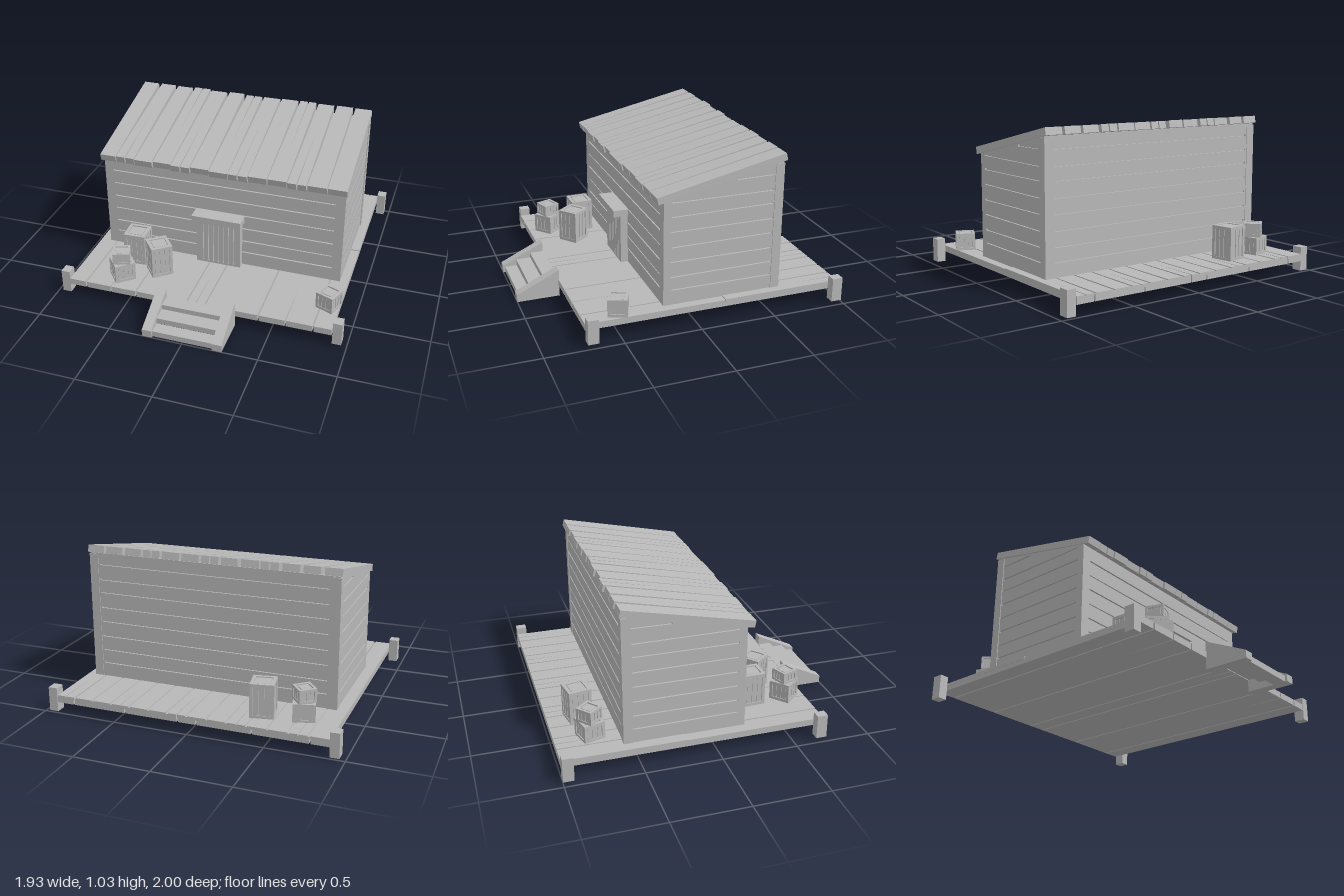
import * as THREE from 'three';

export function createModel() {
  const root = new THREE.Group();
  const wood = new THREE.MeshStandardMaterial({ color: 0xb8b8b8 });
  wood.name = 'weathered wood';

  const add = (parent, name, geo, x = 0, y = 0, z = 0) => {
    const m = new THREE.Mesh(geo, wood);
    m.name = name;
    m.position.set(x, y, z);
    parent.add(m);
    return m;
  };
  // box given by its minimum and maximum corners
  const box = (parent, name, x0, x1, y0, y1, z0, z1) =>
    add(parent, name, new THREE.BoxGeometry(x1 - x0, y1 - y0, z1 - z0),
      (x0 + x1) / 2, (y0 + y1) / 2, (z0 + z1) / 2);
  const group = (name, parent = root) => {
    const g = new THREE.Group();
    g.name = name;
    parent.add(g);
    return g;
  };
  const outline = pts => new THREE.Shape(pts.map(p => new THREE.Vector2(...p)));
  const extrude = (shape, depth) => new THREE.ExtrudeGeometry(shape, { depth, bevelEnabled: false });
  let seed = 7;
  const rnd = () => (seed = (seed * 16807) % 2147483647) / 2147483647;

  // Board lying along z from 0 to -len, with an optional tapering split at one end
  function plank(f0, f1, b0, b1, len, thick, crackEnd = '', crackLen = 0.5) {
    const fm = (f0 + f1) / 2, bm = (b0 + b1) / 2, w = 0.004;
    const pts = [[f0, 0]];
    if (crackEnd === 'front') pts.push([fm - w, 0], [(fm + bm) / 2, len * crackLen], [fm + w, 0]);
    pts.push([f1, 0], [b1, len]);
    if (crackEnd === 'back') pts.push([bm + w, len], [(fm + bm) / 2, len * (1 - crackLen)], [bm - w, len]);
    pts.push([b0, len]);
    return extrude(outline(pts), thick).rotateX(-Math.PI / 2);
  }

  // Flat panel with thin tapering horizontal or vertical grooves cut through it
  function panel(pts, slots, depth) {
    const s = outline(pts);
    for (const q of slots) s.holes.push(new THREE.Path(q.map(p => new THREE.Vector2(...p))));
    return extrude(s, depth);
  }
  const hSlot = (u0, u1, y, flip) => {
    const a = flip ? 0.006 : 0.003, b = flip ? 0.003 : 0.006;
    return [[u0, y - a], [u0, y + a], [u1, y + b], [u1, y - b]];
  };

  // Deck: wide boards full length, narrower boards laid over the back
  const deck = group('deck');
  const seams = [-0.91, -0.785, -0.425, -0.065, 0.06, 0.42, 0.78, 0.905];
  for (let i = 0; i < 7; i++) {
    const a = seams[i] + 0.005, b = seams[i + 1] - 0.005;
    add(deck, 'wideDeckBoard', plank(a, b, a, b, 1.72, 0.043, i % 2 ? 'front' : '', 0.2), 0, 0.075, 0.72);
  }
  for (let i = 0; i < 14; i++) {
    const w = 1.815 / 14, a = -0.91 + i * w, t = 0.004 + rnd() * 0.006;
    add(deck, 'narrowDeckBoard',
      plank(a + 0.002, a + w - 0.002, a + t, a + w - t, 0.8, 0.02, i % 3 === 1 ? 'back' : '', 0.4), 0, 0.104, -0.2);
  }
  for (const s of [-1, 1]) for (const z of [0.65, -1])
    box(root, 'cornerPost', s * 0.935 - 0.03, s * 0.935 + 0.03, 0.01, 0.17, z, z + 0.07);

  // House core with sloping top
  const house = group('house');
  const roofY = z => 0.8 + (0.24 - z) * 0.2176;
  const profile = (zf, zb) => [[-zf, 0.12], [-zb, 0.12], [-zb, roofY(zb)], [-zf, roofY(zf)]];
  add(house, 'houseCore', extrude(outline(profile(0.188, -0.578)), 1.656).rotateY(Math.PI / 2), -0.823);

  // Grooved plank cladding
  const rows = [0.22, 0.31, 0.41, 0.51, 0.61, 0.71, 0.8, 0.9];
  const rect = h => [[-0.835, 0.12], [0.845, 0.12], [0.845, h], [-0.835, h]];
  add(house, 'frontWall', panel(rect(0.808), rows.slice(0, 6).map((y, i) => hSlot(-0.77, 0.78, y, i % 2)), 0.012), 0, 0, 0.188);
  add(house, 'backWall', panel(rect(0.978), rows.map((y, i) => hSlot(-0.77, 0.78, y, i % 2)), 0.012), 0, 0, -0.59);
  for (const x of [-0.835, 0.833]) {
    const slots = rows.map((y, i) => hSlot(y > 0.85 ? 0.28 : -0.15, 0.53, y, i % 2));
    add(house, 'sideWall', panel(profile(0.188, -0.578), slots, 0.012).rotateY(Math.PI / 2), x);
  }
  for (const x of [-0.84, 0.79]) box(house, 'backCornerBoard', x, x + 0.06, 0.12, 0.97, -0.594, -0.535);

  // Door with vertical grooves and a lintel
  const door = group('door');
  const grooves = [];
  for (let i = -3; i <= 3; i++) {
    const x = i * 0.036;
    grooves.push([[x - 0.004, 0.135], [x - 0.002, 0.455], [x + 0.002, 0.455], [x + 0.004, 0.135]]);
  }
  box(door, 'doorCore', -0.155, 0.155, 0.12, 0.466, 0.19, 0.236);
  add(door, 'doorFace', panel([[-0.16, 0.12], [0.155, 0.12], [0.155, 0.466], [-0.16, 0.466]], grooves, 0.014), 0, 0, 0.236);
  box(door, 'lintel', -0.175, 0.17, 0.465, 0.51, 0.195, 0.302);

  // Lean-to roof of uneven boards
  const roof = group('roof');
  roof.position.set(0, 0.8, 0.24);
  roof.rotation.x = Math.atan(0.2176);
  for (let i = 0; i < 13; i++) {
    const w = 1.72 / 13, a = -0.86 + i * w;
    const fl = 0.001 + rnd() * 0.003, bl = 0.004 + rnd() * 0.01, br = 0.004 + rnd() * 0.01;
    const end = i === 0 || i === 12 ? '' : ['back', 'front', ''][i % 3];
    const f0 = i === 0 ? -0.84 : a + fl;
    add(roof, 'roofBoard', plank(f0, a + w - fl, a + bl, a + w - br, 0.867 + rnd() * 0.006, 0.047, end, 0.6),
      0, 0, (rnd() - 0.5) * 0.016);
  }

  // Front steps between sloping stringers
  const stairs = group('stairs');
  for (const x of [-0.27, 0.2]) {
    const side = outline([[-1, 0], [-0.715, 0], [-0.715, 0.185], [-1, 0.05]]);
    add(stairs, 'stringer', extrude(side, 0.065).rotateY(Math.PI / 2), x);
  }
  [[0.9, 0.985, 0.04], [0.8, 0.905, 0.085], [0.715, 0.805, 0.12]].forEach(([z0, z1, y]) =>
    box(stairs, 'stairTread', -0.21, 0.205, y - 0.04, y, z0, z1));

  // Crate: core, edge frame and thin slats
  function crate(x, z, y, w, h, deg) {
    const g = group('crate');
    g.position.set(x, y, z);
    g.rotation.y = THREE.MathUtils.degToRad(deg);
    const r = w / 2, t = w * 0.14, c = r - 0.009;
    box(g, 'crateCore', -c, c, 0.007, h - 0.009, -c, c);
    for (const s of [-1, 1]) {
      for (const q of [-1, 1]) {
        const px = s * (r - t / 2), pz = q * (r - t / 2);
        box(g, 'crateUpright', px - t / 2, px + t / 2, 0, h, pz - t / 2, pz + t / 2);
      }
      for (const yy of [0, h - t]) {
        const p = s * (r - t / 2);
        box(g, 'crateRail', -r + t, r - t, yy, yy + t, p - t / 2, p + t / 2);
        box(g, 'crateRail', p - t / 2, p + t / 2, yy, yy + t, -r + t, r - t);
      }
      // side slats
      const sw = (w - 2 * t) / 3, a = s * (c + 0.002);
      for (let i = 0; i < 3; i++) {
        const u = -r + t + i * sw;
        box(g, 'crateSlat', u + 0.003, u + sw - 0.003, t, h - t, a - 0.003, a + 0.003);
        box(g, 'crateSlat', a - 0.003, a + 0.003, t, h - t, u + 0.003, u + sw - 0.003);
      }
    }
    const l = r - t - 0.008;
    box(g, 'crateLid', -l, l, h - 0.01, h - 0.003, -l, l);
  }
  const base = 0.12;
  [
    [-0.555, 0.345, base, 0.15, 0.225, 2],
    [-0.36, 0.445, base, 0.145, 0.225, 39],
    [-0.575, 0.58, base, 0.14, 0.13, 40],
    [-0.575, 0.58, 0.25, 0.115, 0.08, 20],
    [0.83, 0.487, base, 0.125, 0.115, -22],
    [-0.43, -0.8, base, 0.15, 0.225, 10],
    [-0.68, -0.77, base, 0.14, 0.12, 16],
    [-0.68, -0.77, 0.24, 0.115, 0.09, 40],
  ].forEach(c => crate(...c));

  return root;
}
